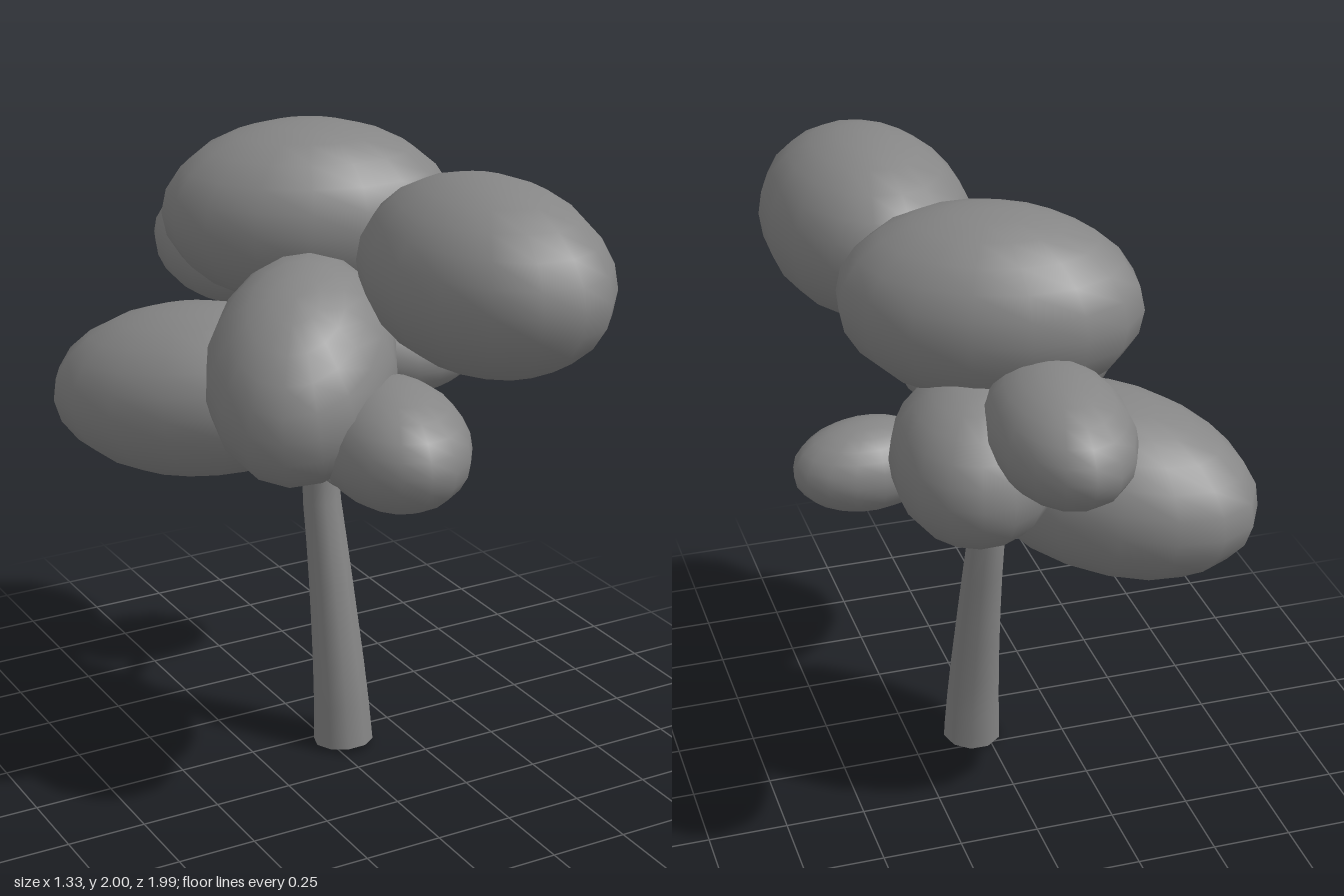
import * as THREE from 'three';

const material = new THREE.MeshStandardMaterial({ color: 0x868686 });

// Tube along a curve, tapering between radii given at even steps of the path
function taperedLimb(name, points, radii, segments, sides) {
  const curve = new THREE.CatmullRomCurve3(points.map(p => new THREE.Vector3(...p)));
  const geometry = new THREE.TubeGeometry(curve, segments, 1, sides);
  const pos = geometry.attributes.position;
  const v = new THREE.Vector3();
  for (let i = 0; i <= segments; i++) {
    const t = i / segments;
    const centre = curve.getPointAt(t);
    const f = t * (radii.length - 1);
    const k = Math.min(Math.floor(f), radii.length - 2);
    const r = THREE.MathUtils.lerp(radii[k], radii[k + 1], f - k);
    for (let j = 0; j <= sides; j++) {
      const n = i * (sides + 1) + j;
      v.fromBufferAttribute(pos, n).sub(centre).multiplyScalar(r).add(centre);
      pos.setXYZ(n, v.x, Math.max(v.y, 0), v.z);
    }
  }
  const mesh = new THREE.Mesh(geometry, material);
  mesh.name = name;
  return mesh;
}

// Leaf clumps: name, centre, half sizes, rotation (pitch, yaw, roll)
const clumps = [
  ['crownClump', [0.07, 1.715, -0.21], [0.455, 0.288, 0.33], [0, -0.45, 0]],
  ['frontUpperClump', [0.245, 1.688, 0.54], [0.322, 0.289, 0.457], [0, 0.1, 0]],
  ['rightMiddleClump', [-0.2, 1.385, 0.25], [0.284, 0.284, 0.405], [0.43, -0.63, 0]],
  ['frontLowerClump', [-0.047, 1.215, 0.523], [0.219, 0.189, 0.31], [0, -0.15, 0]],
  ['leftSmallClump', [0.437, 1.215, -0.17], [0.23, 0.138, 0.159], [0, 0.1, 0]],
  ['backRightClump', [-0.26, 1.145, -0.34], [0.48, 0.276, 0.32], [0, -0.78, 0.1]],
  ['backLeftClump', [0.18, 1.33, -0.425], [0.25, 0.244, 0.345], [0, -0.22, 0]],
  ['backUpperClump', [0.005, 1.5, -0.665], [0.207, 0.181, 0.332], [0, 0, 0]],
];

// Branches: each path runs from the trunk into a clump
const branches = [
  ['frontUpperBranch', [[0.03, 1.2, -0.05], [0.07, 1.32, 0.01], [0.12, 1.46, 0.1], [0.18, 1.6, 0.25]], 0.034],
  ['frontLowerBranch', [[0.02, 0.93, -0.03], [0.0, 0.945, 0.12], [-0.03, 0.99, 0.24], [-0.045, 1.1, 0.33], [-0.05, 1.18, 0.4]], 0.026],
  ['leftSmallBranch', [[0.04, 0.965, -0.05], [0.19, 0.985, -0.08], [0.27, 1.04, -0.12], [0.32, 1.12, -0.15], [0.36, 1.19, -0.16]], 0.024],
  ['rightMiddleBranch', [[0.03, 1.02, -0.05], [-0.03, 1.1, 0.0], [-0.1, 1.25, 0.1]], 0.028],
  ['backRightBranch', [[0.03, 0.95, -0.06], [-0.04, 1.0, -0.12], [-0.13, 1.08, -0.2]], 0.026],
  ['backLeftBranch', [[0.03, 1.03, -0.06], [0.07, 1.12, -0.13], [0.12, 1.22, -0.25]], 0.026],
  ['backUpperBranch', [[0.03, 1.15, -0.06], [0.04, 1.3, -0.18], [0.02, 1.45, -0.45]], 0.026],
];

export function createModel() {
  const tree = new THREE.Group();
  tree.name = 'tree';

  // Leaning trunk, running up into the crown
  const trunkPath = [[0.045, 0.01, 0.07], [0.043, 0.2, 0.052], [0.036, 0.6, -0.01],
    [0.028, 0.88, -0.054], [0.03, 1.15, -0.05], [0.05, 1.4, -0.1], [0.06, 1.6, -0.17]];
  tree.add(taperedLimb('trunk', trunkPath,
    [0.096, 0.085, 0.074, 0.065, 0.058, 0.045, 0.035, 0.028], 12, 10));

  // Closed underside of the trunk
  const base = new THREE.Mesh(new THREE.CircleGeometry(0.095, 10), material);
  base.name = 'trunkBase';
  base.rotation.x = Math.PI / 2;
  base.position.set(0.045, 0.008, 0.07);
  tree.add(base);

  for (const [name, path, radius] of branches) {
    tree.add(taperedLimb(name, path, [radius, radius * 0.8], 5, 7));
  }

  // Smooth ellipsoid leaf clumps
  const ball = new THREE.SphereGeometry(1, 16, 12);
  for (const [name, centre, size, turn] of clumps) {
    const clump = new THREE.Mesh(ball, material);
    clump.name = name;
    clump.position.set(...centre);
    clump.scale.set(...size);
    clump.rotation.set(...turn, 'YXZ');
    tree.add(clump);
  }
  return tree;
}
